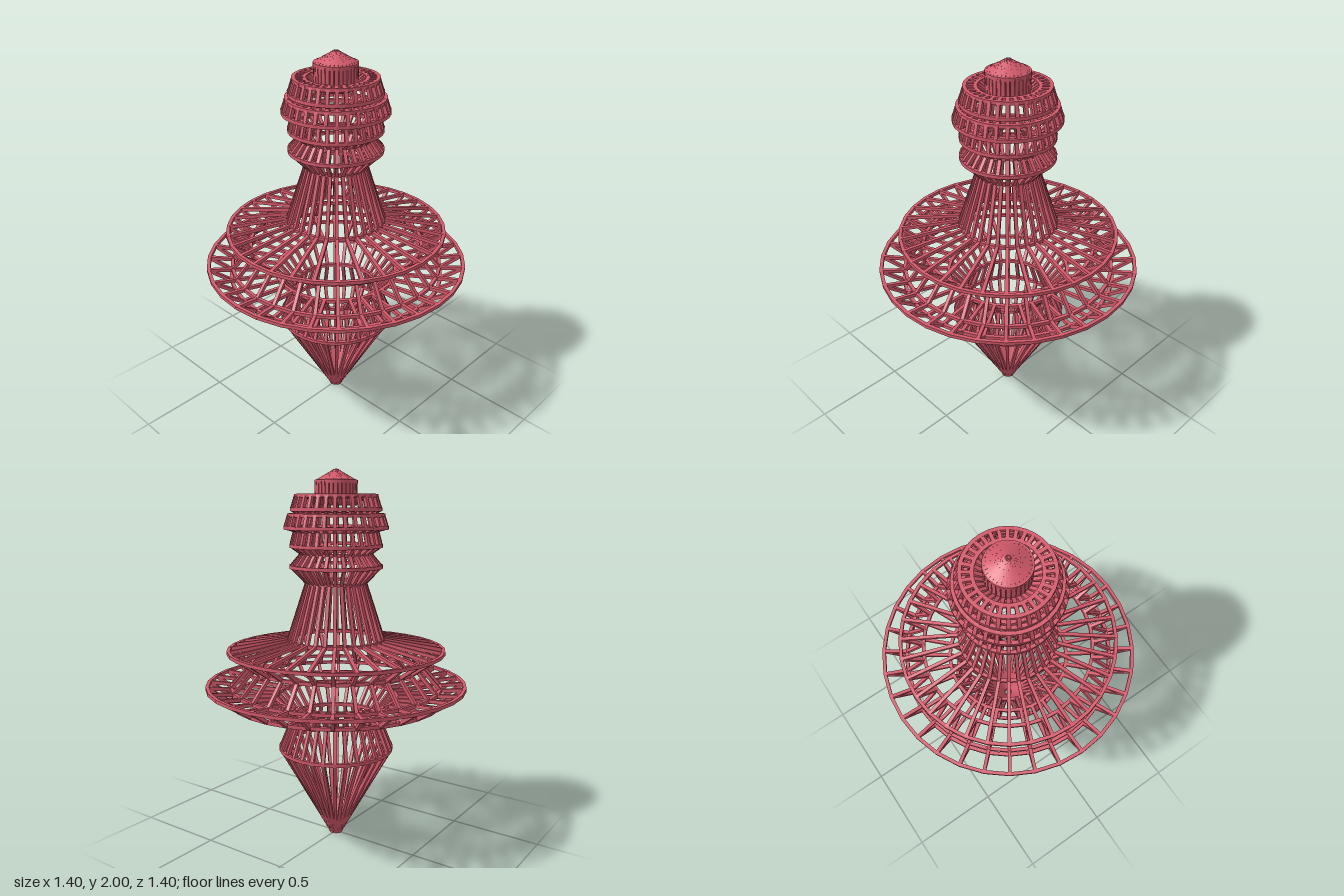
import * as THREE from 'three';
import { mergeGeometries } from 'three/addons/utils/BufferGeometryUtils.js';

const SEGMENTS = 32;
const BAR = 0.018;
const STEP = (Math.PI * 2) / SEGMENTS;

// Profile sections as [radius, height]; each starts where the one before ends
const SECTIONS = {
  lowerCone: [[0.028, 0.009], [0.305, 0.512]],
  lowerWaist: [[0.305, 0.512], [0.235, 0.685], [0.33, 0.797]],
  wideFlange: [[0.33, 0.797], [0.575, 0.797], [0.692, 0.873], [0.565, 0.862]],
  upperFlange: [[0.565, 0.862], [0.46, 0.98], [0.575, 1.06], [0.255, 1.115]],
  neck: [[0.255, 1.115], [0.155, 1.42]],
  collar: [[0.155, 1.42], [0.237, 1.505], [0.18, 1.572]],
  lowerTier: [[0.18, 1.572], [0.235, 1.612], [0.215, 1.69]],
  middleTier: [[0.215, 1.69], [0.265, 1.705], [0.245, 1.768], [0.195, 1.773]],
  upperTier: [[0.195, 1.773], [0.23, 1.797], [0.208, 1.865], [0.155, 1.862]],
  topRecess: [[0.155, 1.862], [0.1, 1.825]],
  finial: [[0.1, 1.825], [0.102, 1.935], [0.003, 1.991]],
};

// One bar along the profile, in the plane of the x axis
function ribBar([r0, y0], [r1, y1]) {
  const length = Math.hypot(r1 - r0, y1 - y0);
  return new THREE.BoxGeometry(length, BAR, BAR)
    .rotateZ(Math.atan2(y1 - y0, r1 - r0))
    .translate((r0 + r1) / 2, (y0 + y1) / 2, 0);
}

// One straight side of a hoop, between two neighbouring ribs
function hoopBar([r, y]) {
  const length = 2 * r * Math.sin(STEP / 2) + BAR * 0.15;
  return new THREE.BoxGeometry(BAR, BAR, length)
    .translate(r * Math.cos(STEP / 2), y, 0)
    .rotateY(STEP / 2);
}

// Repeats a bar around the axis
function aroundAxis(bar) {
  return Array.from({ length: SEGMENTS }, (_, i) => bar.clone().rotateY(i * STEP));
}

export function createModel() {
  const model = new THREE.Group();
  model.name = 'wireSpinningTop';
  const material = new THREE.MeshStandardMaterial({ color: 0xd35a6b });

  Object.entries(SECTIONS).forEach(([name, points], index) => {
    const part = new THREE.Group();
    part.name = name;

    const ribs = points.slice(1).flatMap((p, i) => aroundAxis(ribBar(points[i], p)));
    const ribMesh = new THREE.Mesh(mergeGeometries(ribs), material);
    ribMesh.name = name + 'Ribs';
    part.add(ribMesh);

    // The first hoop is shared with the section below; the apex needs none
    const hoopPoints = points.slice(index === 0 ? 0 : 1).filter(([r]) => r > 0.01);
    const hoops = hoopPoints.flatMap((p) => aroundAxis(hoopBar(p)));
    const hoopMesh = new THREE.Mesh(mergeGeometries(hoops), material);
    hoopMesh.name = name + 'Hoops';
    part.add(hoopMesh);

    model.add(part);
  });
  return model;
}
